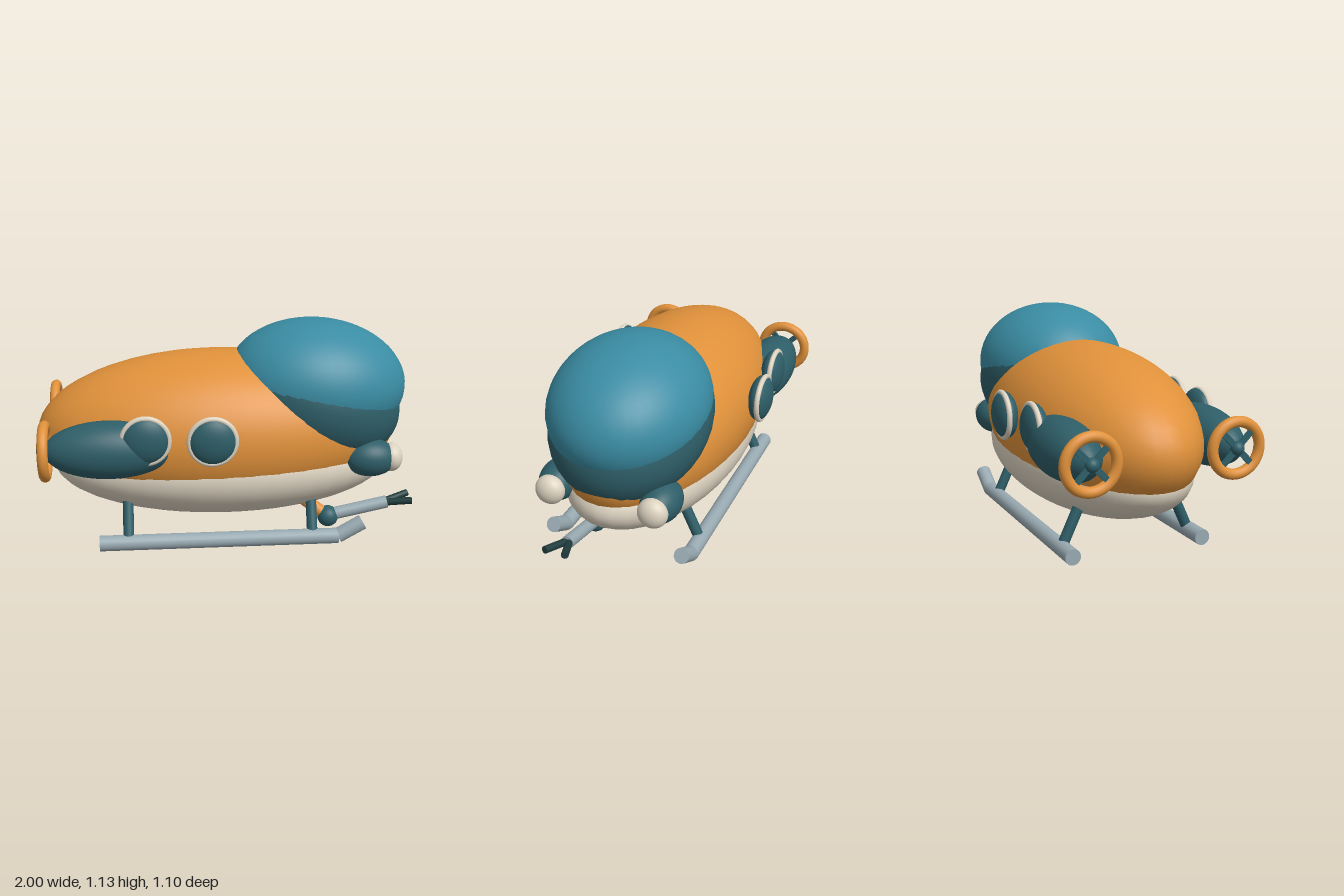
import * as THREE from 'three';

const paint = (name, color) => {
  const m = new THREE.MeshStandardMaterial({ color });
  m.name = name;
  return m;
};

export function createModel() {
  const orange = paint('orange', 0xe0913a);
  const cream = paint('cream', 0xdcd2c0);
  const glass = paint('glass teal', 0x3a8ca3);
  const teal = paint('dark teal', 0x2e5e68);
  const grey = paint('steel grey', 0x98a9b1);
  const charcoal = paint('dark claw', 0x1f3b3d);

  const model = new THREE.Group();
  model.name = 'submarine';

  const add = (name, geometry, material, pos, parent = model) => {
    const mesh = new THREE.Mesh(geometry, material);
    mesh.name = name;
    mesh.position.set(...pos);
    parent.add(mesh);
    return mesh;
  };
  const ellipsoid = (name, material, pos, radii, tilt = 0) => {
    const mesh = add(name, new THREE.SphereGeometry(1, 40, 28), material, pos);
    mesh.scale.set(...radii);
    mesh.rotation.z = tilt;
    return mesh;
  };
  // Cylinder running between two points
  const rod = (name, material, a, b, r, r2 = r) => {
    const from = new THREE.Vector3(...a), to = new THREE.Vector3(...b);
    const dir = to.clone().sub(from);
    const mid = from.clone().add(to).multiplyScalar(0.5);
    const mesh = add(name, new THREE.CylinderGeometry(r2, r, dir.length(), 20), material, mid.toArray());
    mesh.quaternion.setFromUnitVectors(new THREE.Vector3(0, 1, 0), dir.normalize());
    return mesh;
  };

  // Hull, belly and cockpit
  ellipsoid('hull', orange, [-0.04, 0.55, 0], [0.96, 0.425, 0.46]);
  ellipsoid('belly', cream, [-0.01, 0.38, 0], [0.91, 0.28, 0.44]);
  ellipsoid('cockpitCollar', teal, [0.48, 0.72, 0], [0.485, 0.339, 0.403], -0.363);
  ellipsoid('cockpitDome', glass, [0.49, 0.8, 0], [0.481, 0.333, 0.397], -0.084);

  for (const s of [1, -1]) {
    const side = s > 0 ? 'left' : 'right';
    const named = (part) => side + part;

    // Engine pod with a ringed propeller
    ellipsoid(named('EnginePod'), teal, [-0.61, 0.565, s * 0.375], [0.33, 0.148, 0.14]);
    const propeller = new THREE.Group();
    propeller.name = named('Propeller');
    propeller.position.set(-0.932, 0.565, s * 0.375);
    model.add(propeller);
    add('propellerRing', new THREE.TorusGeometry(0.128, 0.027, 16, 40), orange, [0, 0, 0], propeller)
      .rotation.y = Math.PI / 2;
    add('propellerHub', new THREE.SphereGeometry(0.034, 20, 14), teal, [-0.01, 0, 0], propeller);
    for (let i = 0; i < 2; i++) {
      add('propellerBlades', new THREE.BoxGeometry(0.012, 0.24, 0.03), teal, [-0.008, 0, 0], propeller)
        .rotation.x = Math.PI / 4 + i * Math.PI / 2;
    }

    // Portholes
    for (const [x, z] of [[-0.1, 0.5], [-0.43, 0.465]]) {
      ellipsoid(named('PortholeCasing'), teal, [x, 0.635, s * (z - 0.012)], [0.122, 0.122, 0.06]);
      ellipsoid(named('PortholeGlass'), glass, [x, 0.635, s * z], [0.109, 0.109, 0.036])
        .scale.z = 0.052 - 0.012;
      add(named('PortholeRing'), new THREE.TorusGeometry(0.116, 0.014, 14, 40), cream, [x, 0.635, s * z]);
    }

    // Headlights
    ellipsoid(named('HeadlightHousing'), teal, [0.745, 0.445, s * 0.27], [0.14, 0.1, 0.1]);
    ellipsoid(named('HeadlightLens'), cream, [0.855, 0.445, s * 0.27], [0.06, 0.076, 0.076]);

    // Landing skid with an upturned toe
    const z = s * 0.355;
    rod(named('Skid'), grey, [-0.68, 0.041, z], [0.57, 0.041, z], 0.041);
    rod(named('SkidToe'), grey, [0.57, 0.041, z], [0.7, 0.115, z], 0.04);
    for (const x of [-0.53, 0.435]) {
      rod(named('SkidStrut'), teal, [x, 0.06, s * 0.345], [x, 0.24, s * 0.262], 0.028);
    }
  }

  // Gripper arm under the bow
  rod('upperArm', orange, [0.36, 0.21, 0.13], [0.54, 0.085, 0.19], 0.034);
  add('elbowJoint', new THREE.SphereGeometry(0.057, 24, 16), teal, [0.545, 0.083, 0.19]);
  rod('forearm', grey, [0.55, 0.09, 0.19], [0.865, 0.155, 0.19], 0.034);
  for (const s of [1, -1]) {
    rod('claw', charcoal, [0.855, 0.155, 0.19 + s * 0.008], [0.99, 0.181, 0.19 + s * 0.055], 0.019);
  }

  return model;
}
